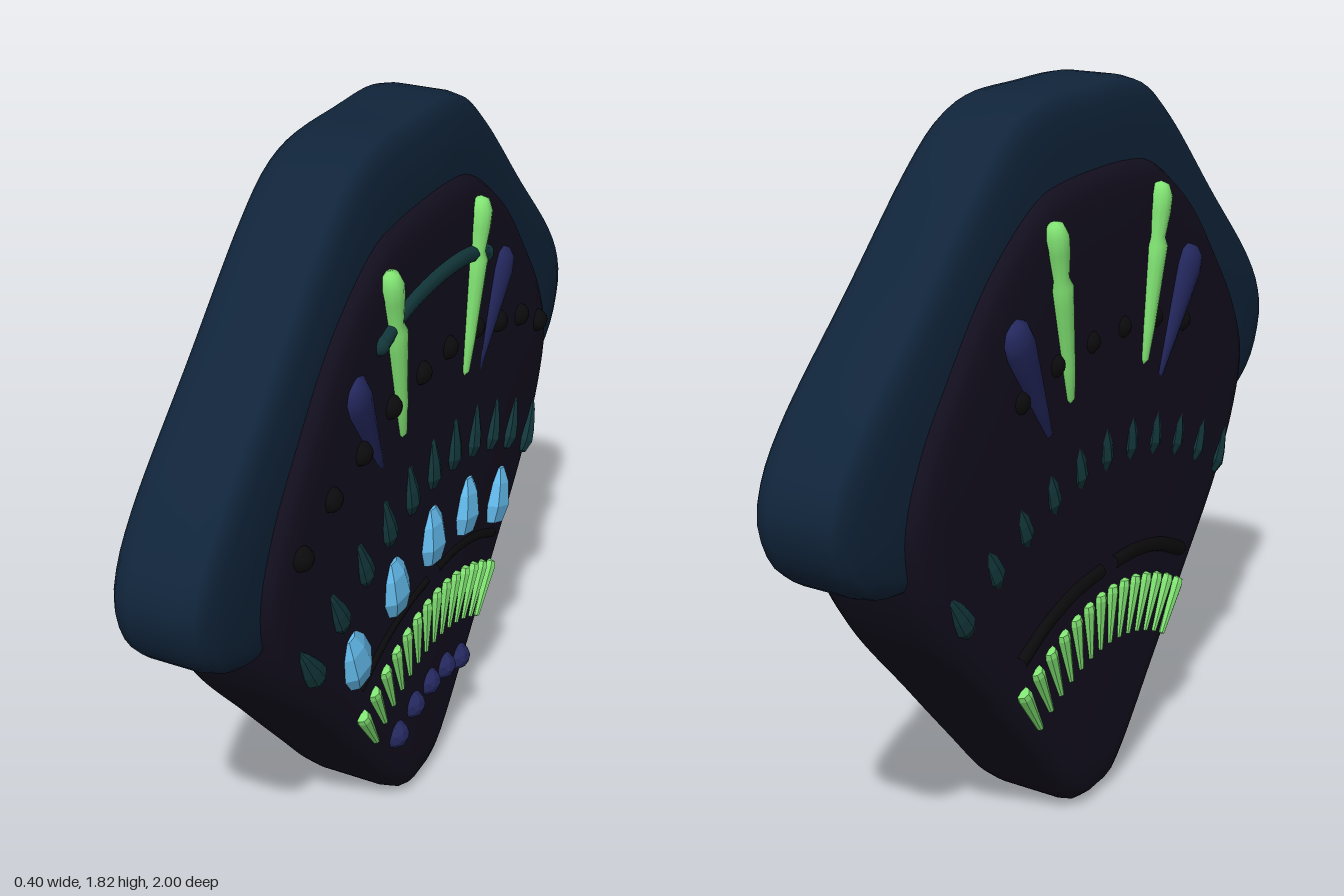
import * as THREE from 'three';

const COLORS = {
  body: 0x130f1f, rim: 0x10243a, green: 0x80e272, blue: 0x62b9ea,
  indigo: 0x23275c, teal: 0x12363a, black: 0x0b0b0d,
};
const mats = {};
const mat = (c, flatShading = false) =>
  (mats[c + flatShading] ??= new THREE.MeshStandardMaterial({ color: COLORS[c], flatShading }));

// Pillow-like slab: a symmetric outline (z, y) swept through inset rings [scale, halfThickness].
function slab(half, cy, rings) {
  const mirrored = half.filter(([z]) => z > 0).reverse().map(([z, y]) => [-z, y]);
  const curve = new THREE.CatmullRomCurve3(
    [...half, ...mirrored].map(([z, y]) => new THREE.Vector3(0, y, z)), true, 'centripetal');
  const n = 120;
  const outline = curve.getSpacedPoints(n).slice(0, n);
  const all = [...rings, ...[...rings].reverse().map(([s, x]) => [s, -x])];
  const pos = [], index = [];
  all.forEach(([s, x]) => outline.forEach((p) => pos.push(x, cy + (p.y - cy) * s, p.z * s)));
  for (let r = 0; r < all.length - 1; r++) {
    for (let i = 0; i < n; i++) {
      const j = (i + 1) % n, a = r * n, b = a + n;
      index.push(a + i, b + i, b + j, a + i, b + j, a + j);
    }
  }
  const g = new THREE.BufferGeometry();
  g.setAttribute('position', new THREE.Float32BufferAttribute(pos, 3));
  g.setIndex(index);
  g.computeVertexNormals();
  return g;
}

const lathe = (pts, seg) => new THREE.LatheGeometry(pts.map(([r, y]) => new THREE.Vector2(r, y)), seg);

export function createModel() {
  const model = new THREE.Group();
  model.name = 'decoratedFan';

  const add = (name, geo, material, x = 0, y = 0, z = 0, tilt = 0, depth = 1) => {
    const m = new THREE.Mesh(geo, material);
    m.name = name;
    m.position.set(x, y, z);
    m.rotation.x = tilt;
    m.scale.x = depth;
    model.add(m);
  };

  // Fan-shaped body
  add('body', slab(
    [[0, 1.645], [0.15, 1.64], [0.26, 1.62], [0.46, 1.49], [0.63, 1.3], [0.74, 1.15], [0.8, 1.0],
      [0.77, 0.86], [0.67, 0.68], [0.46, 0.43], [0.28, 0.22], [0.13, 0.05], [0.07, 0.005], [0, 0]],
    0.9, [[0.001, 0.168], [0.5, 0.168], [0.86, 0.166], [0.93, 0.158], [0.965, 0.147], [0.99, 0.12], [1, 0.08]],
  ), mat('body'));

  // Rounded rim wrapping the top edge
  add('rim', slab(
    [[0, 1.82], [0.2, 1.815], [0.31, 1.78], [0.42, 1.7], [0.66, 1.47], [0.91, 1.23], [0.98, 1.13],
      [1.0, 1.05], [0.96, 0.94], [0.88, 0.875], [0.78, 0.845], [0.4, 0.86], [0, 0.86]],
    1.2, [[0.001, 0.13], [0.5, 0.13], [0.8, 0.13], [0.92, 0.122], [0.97, 0.108], [0.99, 0.093], [1, 0.06]],
  ), mat('rim'));

  const wand = lathe([[0, -0.225], [0.012, -0.21], [0.019, -0.13], [0.028, 0.02], [0.031, 0.07],
    [0.023, 0.09], [0.03, 0.15], [0.031, 0.19], [0.02, 0.218], [0, 0.225]], 12);
  const club = lathe([[0, -0.175], [0.014, -0.165], [0.026, -0.08], [0.042, 0.04], [0.051, 0.11],
    [0.046, 0.15], [0.026, 0.17], [0, 0.175]], 14);
  const drop = lathe([[0, -0.082], [0.02, -0.075], [0.034, -0.045], [0.03, -0.01], [0.016, 0.045], [0, 0.082]], 8);
  const bar = lathe([[0, -0.08], [0.009, -0.077], [0.021, 0.06], [0.018, 0.075], [0, 0.08]], 8);
  const gem = lathe([[0, -0.075], [0.05, -0.068], [0.066, -0.02], [0.052, 0.04], [0.026, 0.078], [0, 0.085]], 7);
  const bead = new THREE.SphereGeometry(0.03, 12, 8);
  const berry = new THREE.IcosahedronGeometry(0.038, 1);

  // Decorations shared by both faces
  for (const side of [1, -1]) {
    const front = side > 0;
    const face = side * 0.165;

    for (const s of [1, -1]) {
      add('wand', wand, mat('green'), side * 0.168, 1.34, s * 0.213, s * 0.165);
      add('club', club, mat('indigo'), side * (front ? 0.155 : 0.162), 1.215, s * 0.345, s * 0.49, 0.75);

      // Thin dark stroke beside the centre line
      const stroke = new THREE.CatmullRomCurve3([[0.4, 0.55], [0.28, 0.605], [0.15, 0.637], [0.03, 0.645]]
        .map(([z, y]) => new THREE.Vector3(face, y, s * z)));
      add('stroke', new THREE.TubeGeometry(stroke, 20, front ? 0.013 : 0.02, 8), mat('black'));
    }

    // Row of beads
    [[0.075, 1.24], [0.235, 1.225], [0.385, 1.18], [0.53, 1.138], [0.667, 1.065]]
      .slice(0, front ? 5 : 3).forEach(([z, y]) => {
        for (const s of [1, -1]) add('bead', bead, mat('black'), front ? 0.163 : -0.155, y, s * z);
      });

    // Fan of pointed drops
    for (let i = -5; i <= 5; i++) {
      const z = i * 0.127;
      add('drop', drop, mat('teal', true), side * (front ? 0.16 : 0.152), 0.972 - 0.51 * z * z, z, z * 0.92, 0.85);
    }

    // Arc of narrow bars
    for (let i = 0; i < 14; i++) {
      const z = (i - 6.5) * 0.0535;
      add('bar', bar, mat('green', true), face, 0.508 - 0.85 * z * z, z, z * 1.6);
    }
  }

  // Faceted gems, on one face only
  for (let i = -2; i <= 2; i++) {
    const z = i * 0.21;
    add('gem', gem, mat('blue', true), 0.158, 0.76 - 0.6 * z * z, z, z * 0.75, 0.65);
  }

  // Berries near the tip
  for (let i = -2; i <= 2; i++) {
    add('berry', berry, mat('indigo', true), 0.16, 0.32 - 0.01 * i * i, i * 0.095);
  }

  // Bowed rod linking the two wands
  const rod = new THREE.CatmullRomCurve3([[0.29, 1.4], [0.18, 1.435], [0, 1.45], [-0.18, 1.435], [-0.29, 1.4]]
    .map(([z, y]) => new THREE.Vector3(0.165, y, z)));
  add('rod', new THREE.TubeGeometry(rod, 24, 0.021, 8), mat('teal'));
  for (const s of [1, -1]) {
    add('rodEnd', new THREE.SphereGeometry(0.023, 10, 8), mat('teal'), 0.165, 1.4, s * 0.29);
  }

  return model;
}
